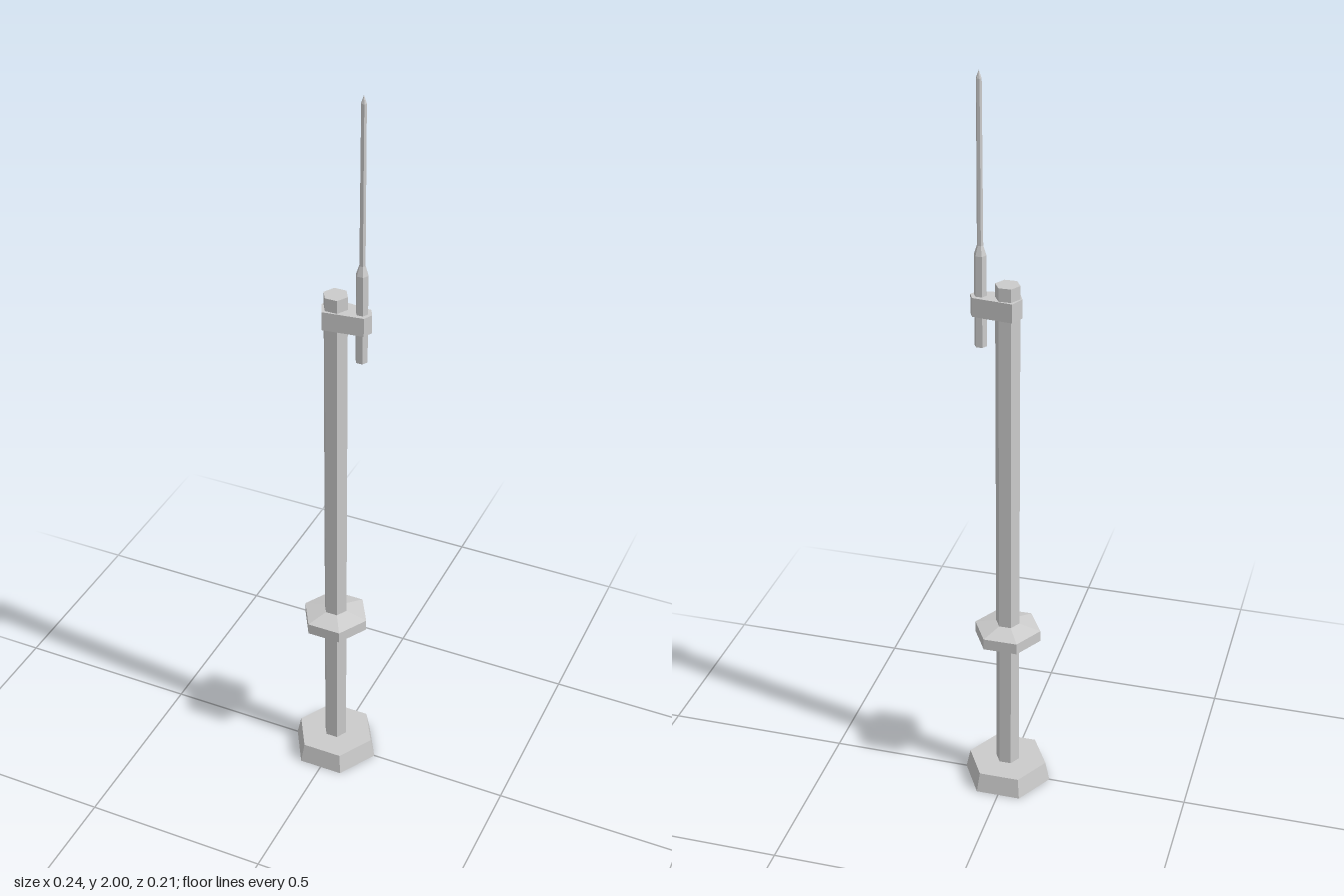
import * as THREE from 'three';

const material = new THREE.MeshStandardMaterial({ color: 0xcccccc, flatShading: true });
const shellMaterial = new THREE.MeshStandardMaterial({
  color: 0xcccccc, flatShading: true, side: THREE.DoubleSide,
});

// Six-sided turned part with corners on +x and -x; profile is [radius, y] going upward
function hexPart(name, profile, mat = material) {
  const points = profile.map(([r, y]) => new THREE.Vector2(r, y));
  const mesh = new THREE.Mesh(new THREE.LatheGeometry(points, 6, Math.PI / 2), mat);
  mesh.name = name;
  return mesh;
}

export function createModel() {
  const model = new THREE.Group();
  model.name = 'antennaMast';

  // Hollow tapered foot, open underneath
  model.add(hexPart('base', [[0.12, 0], [0.108, 0.055], [0, 0.055]], shellMaterial));

  // Main pole, ending just inside the foot
  model.add(hexPart('pole', [[0, 0.035], [0.032, 0.035], [0.032, 1.475], [0, 1.475]]));

  // Collar with sloped top and underside
  model.add(hexPart('collar', [
    [0.03, 0.445], [0.09, 0.457], [0.09, 0.488], [0.03, 0.503],
  ]));

  // Clamp joining the pole and the antenna, tapering towards the antenna
  const outline = new THREE.Shape([
    [-0.037, 0], [-0.021, -0.036], [0.084, -0.023],
    [0.095, 0], [0.084, 0.023], [-0.021, 0.036],
  ].map(([x, y]) => new THREE.Vector2(x, y)));
  const clampGeometry = new THREE.ExtrudeGeometry(outline, { depth: 0.05, bevelEnabled: false });
  clampGeometry.rotateX(-Math.PI / 2);
  const clamp = new THREE.Mesh(clampGeometry, material);
  clamp.name = 'clamp';
  clamp.position.y = 1.39;
  model.add(clamp);

  // Antenna: thick holder, tapered shoulder, slender rod and pointed tip
  const antenna = hexPart('antenna', [
    [0, 1.305], [0.016, 1.305], [0.016, 1.545], [0.008, 1.57], [0.007, 1.98], [0, 2],
  ]);
  antenna.position.x = 0.069;
  model.add(antenna);

  return model;
}
